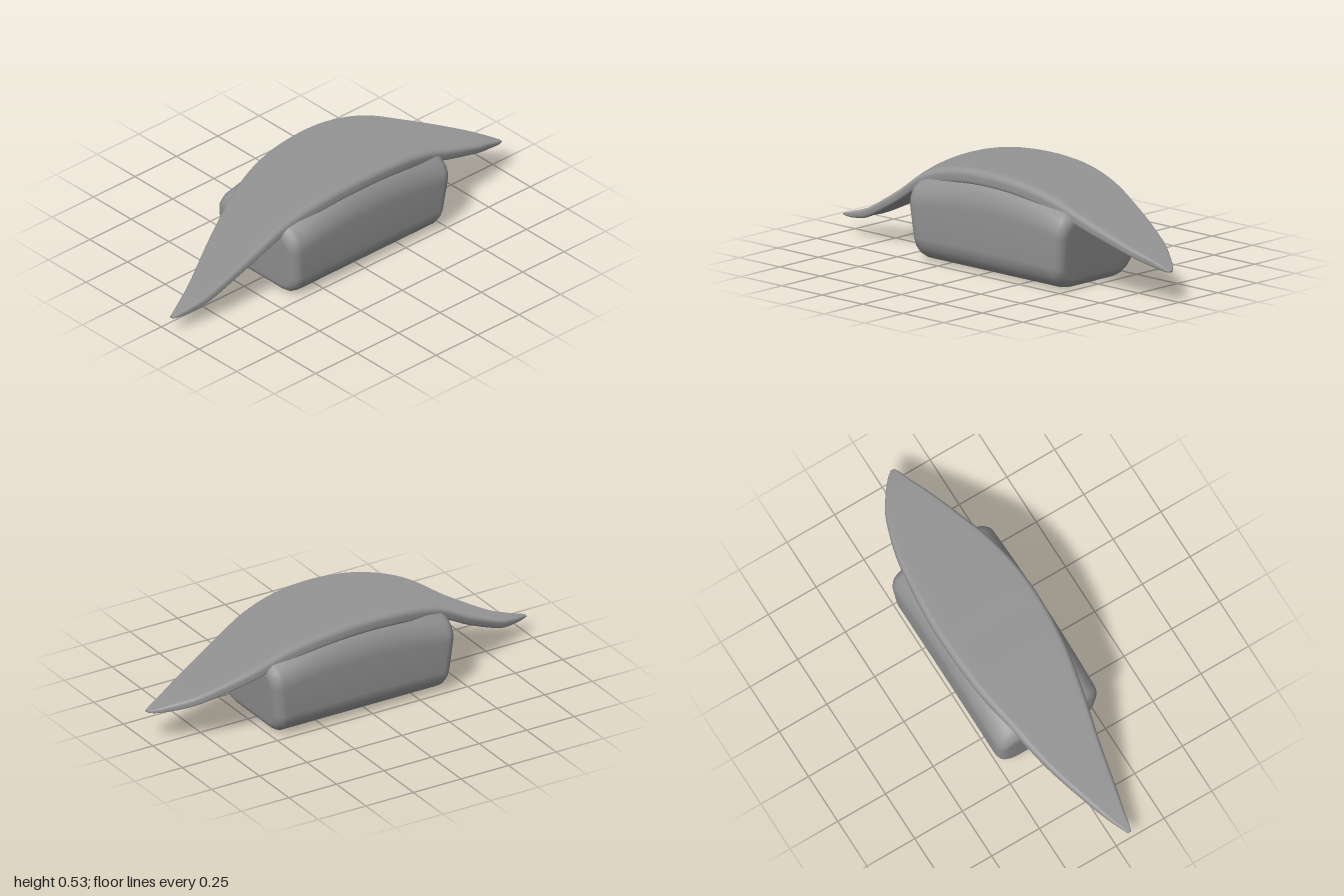
import * as THREE from 'three';

// Rounded rectangle, counter-clockwise seen from +z; flat top and bottom are subdivided
function roundRect(hw, hh, radius, flat = 12, arc = 4) {
  const r = Math.min(radius, hw, hh);
  const pts = [];
  const corners = [[1, -1], [1, 1], [-1, 1], [-1, -1]];
  corners.forEach(([sx, sy], c) => {
    for (let k = 0; k <= arc; k++) {
      const a = (c - 1 + k / arc) * Math.PI / 2;
      pts.push([sx * (hw - r) + r * Math.cos(a), sy * (hh - r) + r * Math.sin(a)]);
    }
    if (c % 2 === 1) {
      for (let k = 1; k < flat; k++) pts.push([sx * (hw - r) * (1 - 2 * k / flat), sy * hh]);
    }
  });
  return pts;
}

// Skin over closed rings that run from +z to -z, with both ends capped
function loft(rings, name) {
  const pos = [], idx = [], n = rings[0].length, last = rings.length - 1;
  rings.forEach(ring => ring.forEach(p => pos.push(...p)));
  for (let i = 0; i < last; i++) {
    for (let j = 0; j < n; j++) {
      const a = i * n + j, b = i * n + (j + 1) % n;
      idx.push(a, a + n, b, b, a + n, b + n);
    }
  }
  [0, last].forEach(i => {
    const centre = pos.length / 3;
    for (let k = 0; k < 3; k++) pos.push(rings[i].reduce((s, p) => s + p[k], 0) / n);
    for (let j = 0; j < n; j++) {
      const a = i * n + j, b = i * n + (j + 1) % n;
      if (i === 0) idx.push(centre, a, b);
      else idx.push(centre, b, a);
    }
  });
  const geo = new THREE.BufferGeometry();
  geo.setAttribute('position', new THREE.Float32BufferAttribute(pos, 3));
  geo.setIndex(idx);
  geo.computeVertexNormals();
  const mesh = new THREE.Mesh(geo, new THREE.MeshStandardMaterial({ color: 0x949494 }));
  mesh.name = name;
  return mesh;
}

// Rounded block: flared upwards, with an arched top
function createBase() {
  const H = 0.352, L = 0.446, bevel = 0.045;
  const ends = [[L, 0.1], [L, bevel]];
  for (let k = 1; k <= 5; k++) {
    const a = k / 5 * Math.PI / 2;
    ends.push([L - bevel + bevel * Math.cos(a), bevel * (1 - Math.sin(a))]);
  }
  const stations = [...ends];
  for (let k = 1; k < 20; k++) stations.push([(L - bevel) * (1 - k / 10), 0]);
  [...ends].reverse().forEach(([z, inset]) => stations.push([-z, inset]));

  const rings = stations.map(([z, inset]) =>
    roundRect(0.247 - inset, H / 2 - inset, Math.max(0.105 - inset, 0.03)).map(([x, y0]) => {
      const y = y0 + H / 2, t = y / H;
      const arch = 0.093 * (1 - (z / L) ** 2) * t * t;
      return [x * (1 + 0.28 * y), y + arch, z * (1 + 0.28 * y) - 0.035 - 0.02 * y];
    }));
  return loft(rings, 'base');
}

// Long draped slice: pointed at both ends, drooping at its sides
function createSlice() {
  // z, left-hand x, right-hand x, top y, thickness
  const sections = [
    [1.0, 0.058, 0.078, 0.087, 0.008],
    [0.97, 0.045, 0.086, 0.095, 0.018],
    [0.9, 0.013, 0.1, 0.117, 0.033],
    [0.8, -0.03, 0.12, 0.16, 0.045],
    [0.6, -0.115, 0.153, 0.285, 0.053],
    [0.4, -0.178, 0.192, 0.425, 0.064],
    [0.2, -0.224, 0.226, 0.502, 0.07],
    [0.0, -0.242, 0.241, 0.53, 0.07],
    [-0.2, -0.242, 0.238, 0.521, 0.07],
    [-0.4, -0.218, 0.214, 0.466, 0.067],
    [-0.6, -0.176, 0.174, 0.362, 0.057],
    [-0.8, -0.105, 0.125, 0.256, 0.045],
    [-0.9, -0.045, 0.093, 0.206, 0.036],
    [-0.97, 0.01, 0.074, 0.17, 0.02],
    [-1.0, 0.043, 0.062, 0.155, 0.008],
  ];
  const curve = (a, b) => new THREE.CatmullRomCurve3(
    sections.map(s => new THREE.Vector3(s[a], s[b], s[0])), false, 'catmullrom', 0.5);
  const leftTop = curve(1, 3), rightThick = curve(2, 4);
  const steps = 70, rings = [], drape = [];
  for (let i = 0; i <= steps; i++) {
    const p = leftTop.getPoint(i / steps), q = rightThick.getPoint(i / steps);
    const cx = (p.x + q.x) / 2, hw = (q.x - p.x) / 2, h = q.y / 2;
    rings.push(roundRect(hw, h, 0.7 * h).map(([x, y]) => {
      drape.push(p.y - h - 1.05 * x * x);
      return [cx + x, y, p.z];
    }));
  }
  drape.push(leftTop.getPoint(0).y, leftTop.getPoint(1).y); // cap centres

  // Bend the flat slice over the base, keeping its flat, even shading
  const mesh = loft(rings, 'slice');
  const position = mesh.geometry.attributes.position;
  drape.forEach((dy, i) => position.setY(i, position.getY(i) + dy));
  return mesh;
}

export function createModel() {
  const group = new THREE.Group();
  group.name = 'slicedTopping';
  group.add(createBase(), createSlice());
  return group;
}
